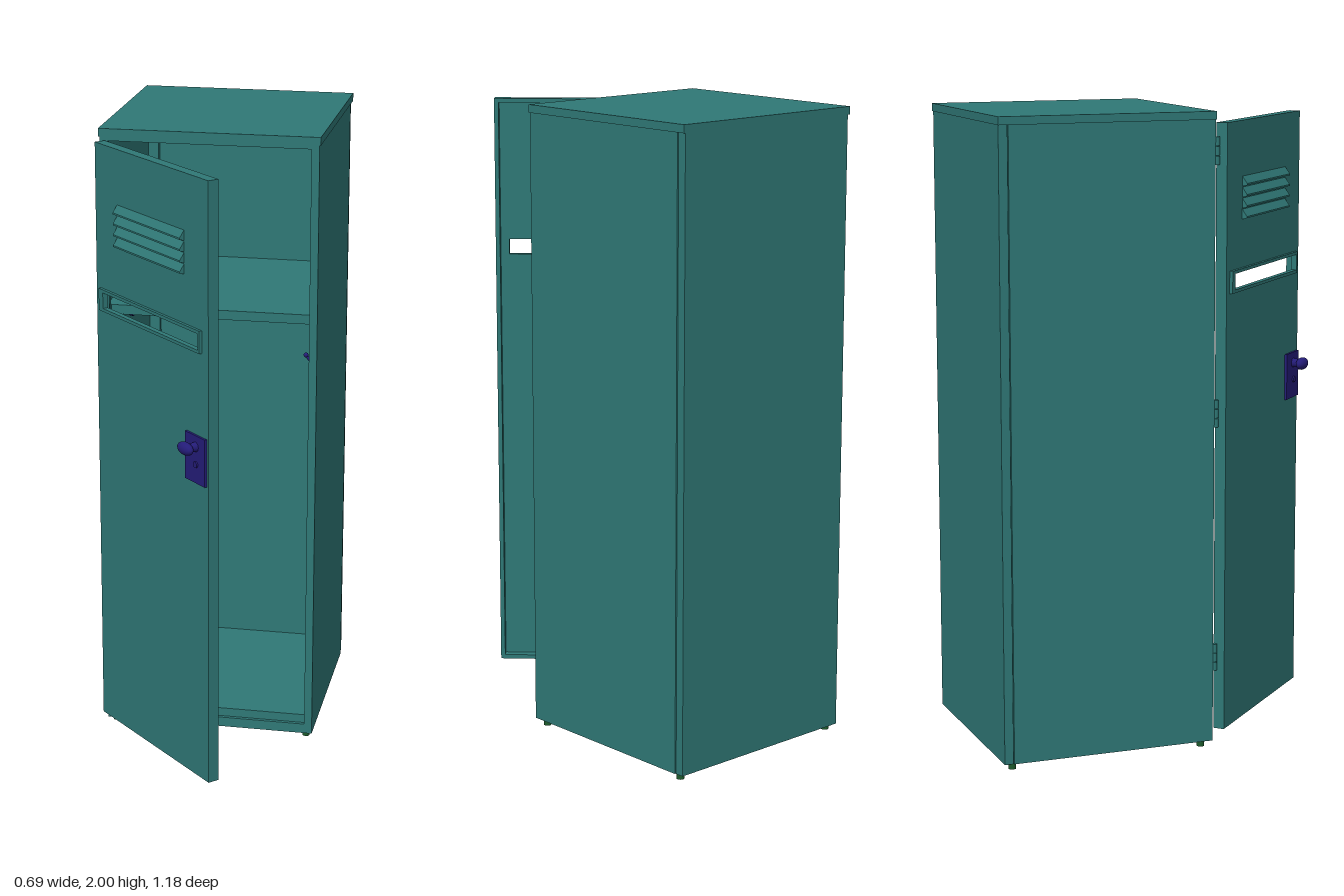
import * as THREE from 'three';

const teal = new THREE.MeshStandardMaterial({ color: 0x2f7876, side: THREE.DoubleSide });
const blue = new THREE.MeshStandardMaterial({ color: 0x241c78 });
const green = new THREE.MeshStandardMaterial({ color: 0x1c5a2c });

function add(parent, name, geometry, material, x = 0, y = 0, z = 0) {
  const mesh = new THREE.Mesh(geometry, material);
  mesh.name = name;
  mesh.position.set(x, y, z);
  parent.add(mesh);
  return mesh;
}

// Box given by its minimum and maximum corners
function box(parent, name, [x0, y0, z0], [x1, y1, z1], material = teal) {
  return add(parent, name, new THREE.BoxGeometry(x1 - x0, y1 - y0, z1 - z0), material,
    (x0 + x1) / 2, (y0 + y1) / 2, (z0 + z1) / 2);
}

function rectPath(PathType, x0, y0, x1, y1) {
  return new PathType([[x0, y0], [x1, y0], [x1, y1], [x0, y1]].map(p => new THREE.Vector2(...p)));
}

// Plate in the xy plane with a rectangular hole
function holedPlate(outer, hole, depth) {
  const shape = rectPath(THREE.Shape, ...outer);
  shape.holes.push(rectPath(THREE.Path, ...hole));
  return new THREE.ExtrudeGeometry(shape, { depth, bevelEnabled: false });
}

// Stack of wedge slats, each rising outwards along +z; base at y = 0, centred on x
function louvers(width, count, pitch) {
  const group = new THREE.Group();
  group.name = 'louvers';
  const wedge = new THREE.Shape([[0, 0], [0.016, 0.004], [0.016, 0.009], [0, pitch * 0.92]]
    .map(p => new THREE.Vector2(...p)));
  const geometry = new THREE.ExtrudeGeometry(wedge, { depth: width, bevelEnabled: false });
  geometry.rotateY(-Math.PI / 2).translate(width / 2, 0, 0);
  for (let i = 0; i < count; i++) add(group, 'louverSlat', geometry, teal, 0, i * pitch, 0);
  return group;
}

function createCabinet() {
  const g = new THREE.Group();
  g.name = 'cabinet';
  box(g, 'lid', [-0.345, 1.975, -0.595], [0.345, 2, 0.097]);
  box(g, 'backPanel', [-0.338, 0.02, -0.593], [0.338, 1.975, -0.565]);
  for (const s of [-1, 1]) {
    const side = (name, a, b, z0, z1, y0 = 0.02, y1 = 1.975) =>
      box(g, name, [Math.min(s * a, s * b), y0, z0], [Math.max(s * a, s * b), y1, z1]);
    side('sidePanel', 0.33, 0.341, -0.563, 0.095);
    side('frontFlange', 0.316, 0.33, 0.075, 0.095);
    side('backPost', 0.296, 0.33, -0.565, -0.545);
    side('baseFlange', 0.3, 0.33, -0.565, 0.075, 0.02, 0.026);
  }

  // Floor, plinth rails and head rail
  box(g, 'floor', [-0.33, 0.066, -0.565], [0.33, 0.08, 0.075]);
  box(g, 'frontPlinth', [-0.33, 0.02, 0.083], [0.33, 0.052, 0.095]);
  box(g, 'floorLip', [-0.33, 0.05, 0.07], [0.33, 0.08, 0.083]);
  box(g, 'plinthFlange', [-0.33, 0.02, 0.055], [0.33, 0.026, 0.083]);
  box(g, 'headRail', [-0.33, 1.962, 0.075], [0.33, 1.975, 0.095]);

  const vent = louvers(0.38, 4, 0.034);
  vent.rotation.x = Math.PI / 2;
  vent.position.set(0, 0.066, -0.5);
  g.add(vent);

  // Shelf with a folded front lip
  box(g, 'shelf', [-0.33, 1.423, -0.565], [0.33, 1.435, 0.07]);
  box(g, 'shelfLip', [-0.33, 1.405, 0.06], [0.33, 1.435, 0.072]);

  // Clothes rail between two flanges
  const rail = add(g, 'clothesRail', new THREE.CylinderGeometry(0.017, 0.017, 0.66, 20), blue, 0, 1.33, -0.25);
  rail.rotation.z = Math.PI / 2;
  for (const s of [-1, 1]) {
    const flange = add(g, 'railFlange', new THREE.CylinderGeometry(0.027, 0.027, 0.012, 20), blue, s * 0.323, 1.333, -0.25);
    flange.rotation.z = Math.PI / 2;
    // Coat hook on the side wall
    box(g, 'hookPlate', [s * 0.327 - 0.003, 1.165, -0.21], [s * 0.327 + 0.003, 1.215, -0.18], blue);
    const curve = new THREE.CatmullRomCurve3([[0.328, 1.178], [0.305, 1.184], [0.28, 1.2], [0.262, 1.222]]
      .map(([x, y]) => new THREE.Vector3(s * x, y, -0.195)));
    add(g, 'coatHook', new THREE.TubeGeometry(curve, 12, 0.005, 8), blue);
    add(g, 'hookTip', new THREE.SphereGeometry(0.008, 12, 8), blue, s * 0.262, 1.222, -0.195);
  }

  // Feet
  for (const x of [-0.318, 0.318]) for (const z of [-0.563, 0.063])
    add(g, 'foot', new THREE.CylinderGeometry(0.012, 0.012, 0.024, 16), green, x, 0.012, z);
  return g;
}

// Door in its own frame: hinge edge at x = 0, outside towards +z
function createDoor() {
  const g = new THREE.Group();
  g.name = 'door';
  const w = 0.622, t = 0.036, y0 = 0.055, y1 = 1.965, rim = 0.014;
  const slot = [0.05, 1.45, 0.58, 1.5];
  add(g, 'doorSheet', holedPlate([0, y0, w, y1], slot, 0.008), teal, 0, 0, t - 0.008);
  add(g, 'doorRim', holedPlate([0, y0, w, y1], [rim, y0 + rim, w - rim, y1 - rim], t - 0.008), teal);
  add(g, 'slotFrame', holedPlate([0.026, 1.44, 0.588, 1.51], slot, 0.01), teal, 0, 0, t);

  const vent = louvers(0.37, 4, 0.034);
  vent.position.set(0.31, 1.66, t);
  g.add(vent);

  // Lock plate, turn knob and keyhole
  box(g, 'lockPlate', [0.508, 1.03, t], [0.614, 1.18, t + 0.008], blue);
  const stem = add(g, 'knobStem', new THREE.CylinderGeometry(0.012, 0.016, 0.03, 20), blue, 0.565, 1.145, t + 0.018);
  stem.rotation.x = Math.PI / 2;
  const knob = add(g, 'knob', new THREE.SphereGeometry(1, 24, 16), blue, 0.56, 1.145, t + 0.041);
  knob.scale.set(0.036, 0.02, 0.017);
  const keyhole = add(g, 'keyhole', new THREE.CylinderGeometry(0.01, 0.01, 0.006, 16), blue, 0.568, 1.09, t + 0.01);
  keyhole.rotation.x = Math.PI / 2;
  return g;
}

export function createModel() {
  const model = new THREE.Group();
  model.name = 'locker';
  model.add(createCabinet());

  // Door standing open at 45 degrees
  const door = createDoor();
  door.rotation.y = -Math.PI / 4;
  door.position.set(-0.322, 0, 0.105);
  model.add(door);

  // Hinges
  for (const y of [0.29, 1.07, 1.88]) {
    for (const dy of [-0.029, 0, 0.029])
      add(model, 'hingeKnuckle', new THREE.CylinderGeometry(0.009, 0.009, 0.027, 16), teal, -0.331, y + dy, 0.103);
    box(model, 'hingeLeaf', [-0.334, y - 0.042, 0.08], [-0.328, y + 0.042, 0.103]);
  }
  return model;
}
